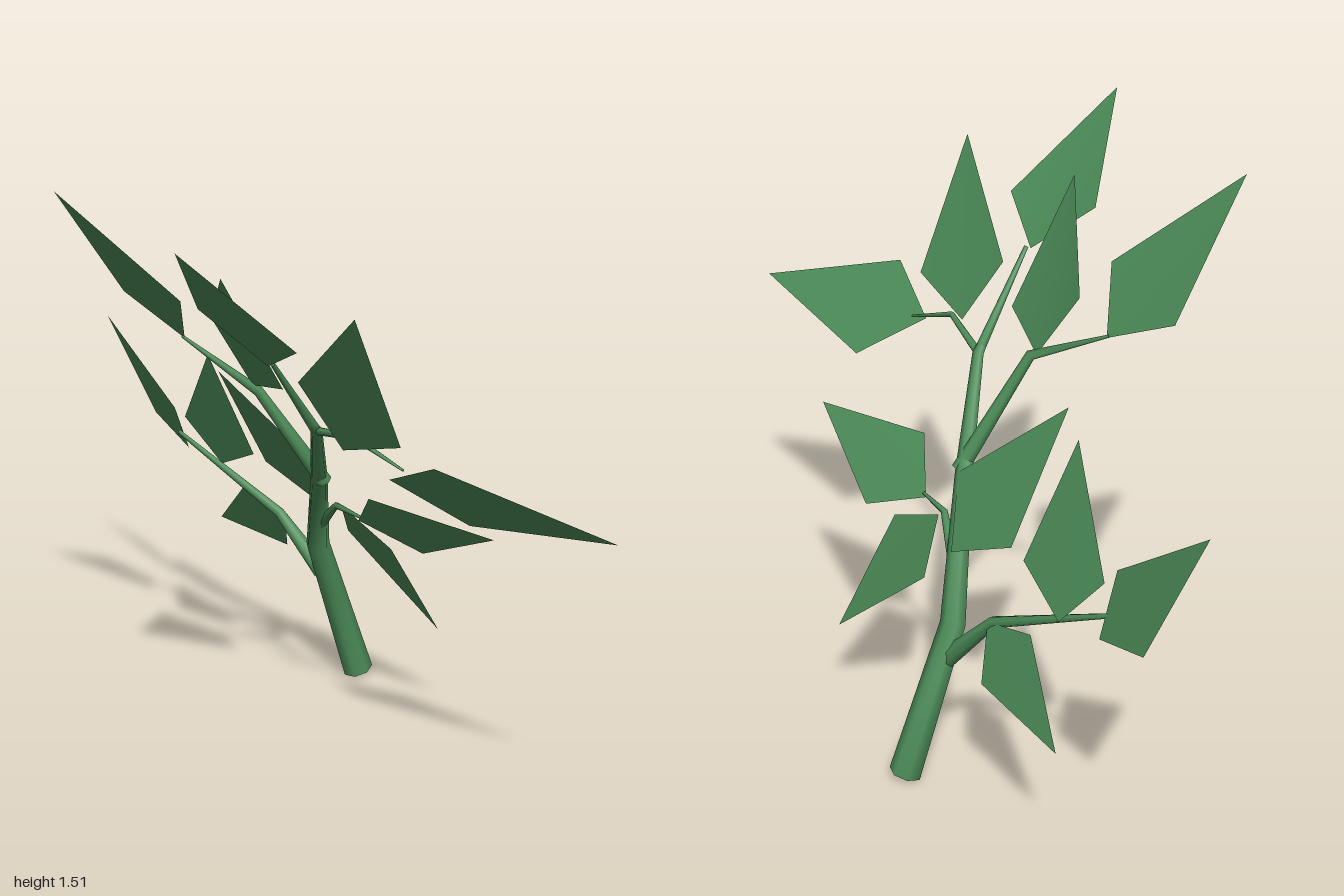
import * as THREE from 'three';

const SIDES = 7;
const green = new THREE.MeshStandardMaterial({ color: 0x4c8c58 });
const leafGreen = new THREE.MeshStandardMaterial({ color: 0x4c8c58, side: THREE.DoubleSide });
// The whole plant leans in one plane; this is roughly its normal
const planeNormal = new THREE.Vector3(0.8, 0.6, 0);

function buildMesh(name, positions, indices, material) {
  const geometry = new THREE.BufferGeometry();
  geometry.setAttribute('position', new THREE.Float32BufferAttribute(positions, 3));
  geometry.setIndex(indices);
  geometry.computeVertexNormals();
  const mesh = new THREE.Mesh(geometry, material);
  mesh.name = name;
  return mesh;
}

// Tapered tube through nodes [x, y, z, radius], with both ends closed
function limb(name, nodes) {
  const centres = nodes.map(([x, y, z]) => new THREE.Vector3(x, y, z));
  const last = nodes.length - 1;
  const positions = [], indices = [];
  const dir = (i) => centres[i + 1].clone().sub(centres[i]).normalize();
  const ring = (i) => {
    const t = dir(Math.min(i, last - 1)).add(dir(Math.max(i - 1, 0))).normalize();
    const u = planeNormal.clone().cross(t).normalize();
    const v = t.clone().cross(u);
    for (let j = 0; j < SIDES; j++) {
      const a = (j / SIDES) * Math.PI * 2;
      const p = centres[i].clone()
        .addScaledVector(u, Math.cos(a) * nodes[i][3])
        .addScaledVector(v, Math.sin(a) * nodes[i][3]);
      positions.push(p.x, p.y, p.z);
    }
  };
  nodes.forEach((_, i) => ring(i));
  for (let i = 0; i < last; i++) {
    for (let j = 0; j < SIDES; j++) {
      const a = i * SIDES + j, b = i * SIDES + (j + 1) % SIDES;
      indices.push(a, b, b + SIDES, a, b + SIDES, a + SIDES);
    }
  }
  // End caps use their own vertices so the rims stay sharp
  const startCap = positions.length / 3;
  ring(0);
  ring(last);
  for (let j = 1; j < SIDES - 1; j++) {
    indices.push(startCap, startCap + j + 1, startCap + j);
    const e = startCap + SIDES;
    indices.push(e, e + j, e + j + 1);
  }
  return buildMesh(name, positions, indices, green);
}

// Four-cornered leaf blade: tip, side, base, other side
function leaf(...corners) {
  return buildMesh('leaf', corners.flat(), [0, 1, 2, 0, 2, 3], leafGreen);
}

function sprig(name, limbs, leaves) {
  const group = new THREE.Group();
  group.name = name;
  limbs.forEach((nodes) => group.add(limb('twig', nodes)));
  leaves.forEach((corners) => group.add(leaf(...corners)));
  return group;
}

export function createModel() {
  const model = new THREE.Group();
  model.name = 'leafyBranch';

  // Main stem, from the cut foot to the upper fork
  model.add(limb('stem', [
    [0.46, 0.016, -0.222, 0.043], [0.335, 0.43, -0.257, 0.033],
    [0.18, 0.72, -0.07, 0.023], [0.02, 0.94, 0.108, 0.015], [-0.03, 1.0, 0.125, 0.01],
  ]));

  // Top of the stem: a rising twig and a forward twig
  model.add(sprig('topSprig', [
    [[0.02, 0.94, 0.108, 0.014], [-0.17, 1.17, 0.17, 0.006]],
    [[0.02, 0.94, 0.105, 0.011], [-0.01, 0.98, 0.28, 0.008], [0.02, 0.93, 0.43, 0.003]],
  ], [
    [[0.15, 0.89, 1.0], [-0.06, 1.01, 0.62], [-0.02, 0.915, 0.425], [0.125, 0.8, 0.555]],
    [[-0.215, 1.37, 0.515], [-0.125, 1.125, 0.21], [-0.045, 0.955, 0.285], [-0.045, 1.02, 0.49]],
    [[-0.51, 1.515, 0.25], [-0.24, 1.255, 0.345], [-0.18, 1.165, 0.165], [-0.285, 1.295, 0.03]],
  ]));

  // Middle branch, rising and bending to the back
  model.add(sprig('middleSprig', [
    [[0.18, 0.72, -0.05, 0.022], [-0.01, 1.0, -0.085, 0.014], [-0.09, 1.11, -0.3, 0.004]],
  ], [
    [[-0.255, 1.375, 0.08], [-0.07, 1.18, -0.205], [-0.01, 1.01, -0.11], [-0.065, 1.06, 0.08]],
    [[-0.37, 1.505, -0.445], [-0.135, 1.195, -0.493], [-0.085, 1.105, -0.297], [-0.177, 1.245, -0.187]],
    [[0.055, 0.975, -0.34], [0.24, 0.665, -0.37], [0.29, 0.58, -0.18], [0.2, 0.73, -0.075]],
  ]));

  // Lower back branch
  model.add(sprig('backSprig', [
    [[0.355, 0.34, -0.26, 0.026], [0.305, 0.49, -0.39, 0.015], [0.215, 0.655, -0.74, 0.006]],
  ], [
    [[0.13, 0.97, -0.485], [0.205, 0.715, -0.697], [0.265, 0.585, -0.603], [0.25, 0.665, -0.437]],
    [[0.155, 0.955, -1.0], [0.262, 0.655, -0.92], [0.245, 0.6, -0.735], [0.177, 0.745, -0.707]],
    [[0.373, 0.345, -0.75], [0.3, 0.53, -0.54], [0.315, 0.49, -0.38], [0.368, 0.36, -0.432]],
  ]));

  // Short front twig
  model.add(sprig('frontSprig', [
    [[0.28, 0.53, -0.18, 0.016], [0.24, 0.628, -0.07, 0.009], [0.232, 0.63, 0.04, 0.004]],
  ], [
    [[0.26, 0.71, 0.505], [0.16, 0.735, 0.15], [0.23, 0.62, 0.033], [0.315, 0.555, 0.193]],
    [[0.447, 0.27, 0.122], [0.345, 0.505, -0.14], [0.257, 0.625, -0.07], [0.278, 0.55, 0.11]],
  ]));

  return model;
}
